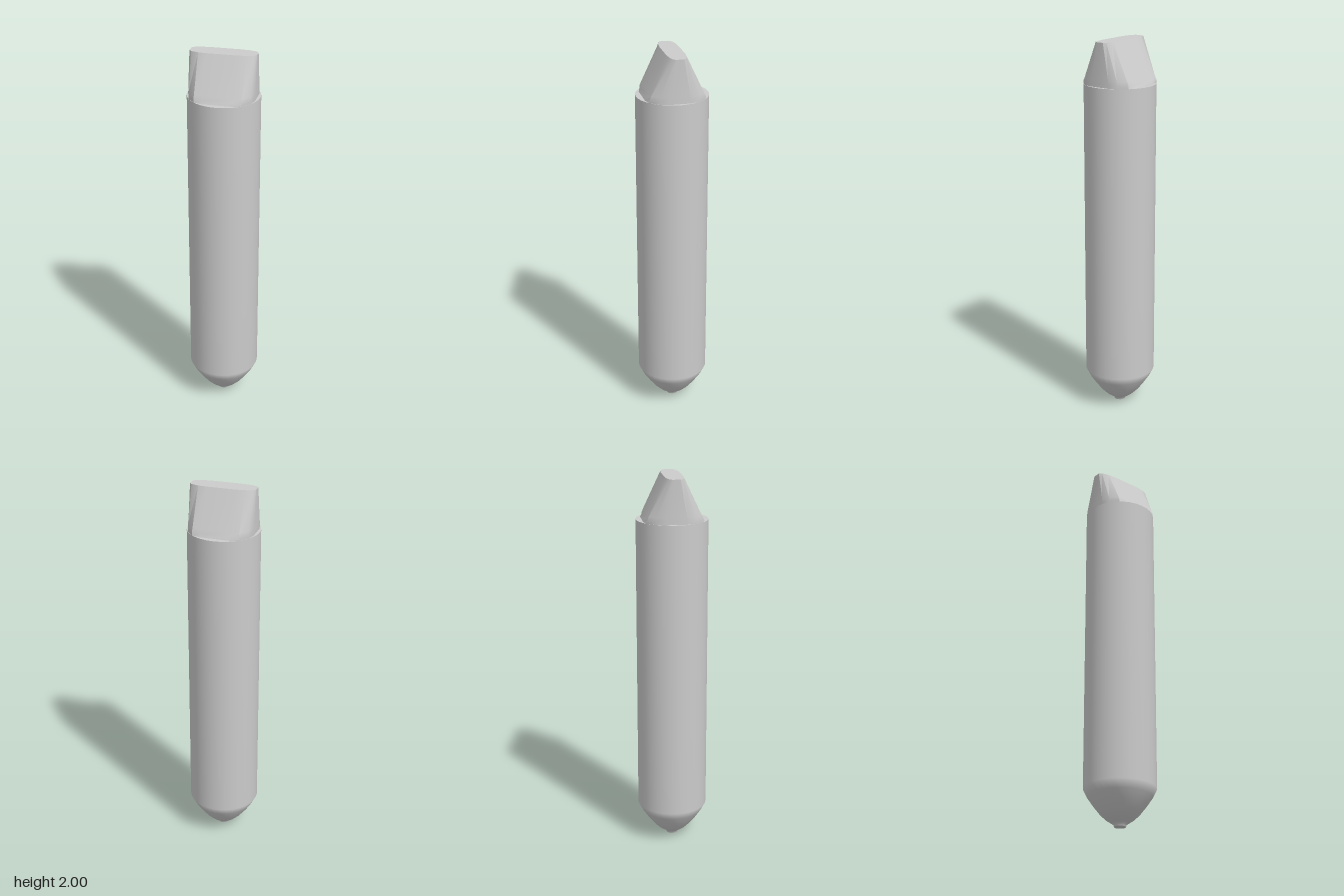
import * as THREE from 'three';
import { toCreasedNormals } from 'three/addons/utils/BufferGeometryUtils.js';

const material = new THREE.MeshStandardMaterial({ color: 0xcccccc });

// Mirror one quarter outline ([x, z] pairs) into a full ring.
function ring(quarter) {
  const back = [...quarter].reverse();
  return [
    ...quarter,
    ...back.map(([x, z]) => [-x, z]),
    ...quarter.map(([x, z]) => [-x, -z]),
    ...back.map(([x, z]) => [x, -z]),
  ];
}

// Skin a stack of rings and close the top with a fan.
function loft(sections) {
  const positions = [], index = [];
  const n = sections[0].points.length;
  for (const { y, points } of sections) {
    for (const [x, z] of points) positions.push(x, y, z);
  }
  for (let s = 0; s < sections.length - 1; s++) {
    for (let i = 0; i < n; i++) {
      const a = s * n + i, b = s * n + (i + 1) % n;
      index.push(a, a + n, b, b, a + n, b + n);
    }
  }
  const top = (sections.length - 1) * n;
  positions.push(0, sections[sections.length - 1].y, 0);
  for (let i = 0; i < n; i++) index.push(top + i, sections.length * n, top + (i + 1) % n);
  const geometry = new THREE.BufferGeometry();
  geometry.setAttribute('position', new THREE.Float32BufferAttribute(positions, 3));
  geometry.setIndex(index);
  return toCreasedNormals(geometry, 0.6);
}

export function createModel() {
  const group = new THREE.Group();
  const add = (name, geometry) => {
    const mesh = new THREE.Mesh(geometry, material);
    mesh.name = name;
    group.add(mesh);
    return mesh;
  };

  // Round shaft tapering to a blunt nose
  const profile = [
    [0.03, 0], [0.034, 0.012], [0.045, 0.02], [0.075, 0.04], [0.105, 0.07],
    [0.135, 0.108], [0.165, 0.152], [0.187, 0.195], [0.187, 1.775],
  ].map(([r, y]) => new THREE.Vector2(r, y));
  add('shaft', new THREE.LatheGeometry(profile, 32));

  // Flat ends of the shaft
  const shoulder = add('shoulder', new THREE.CircleGeometry(0.187, 32));
  shoulder.rotation.x = -Math.PI / 2;
  shoulder.position.y = 1.775;
  const tip = add('tip', new THREE.CircleGeometry(0.03, 32));
  tip.rotation.x = Math.PI / 2;

  // Wedge-shaped tang with a small flare where it meets the shoulder
  const sections = [
    { y: 1.775, points: [[0.17, 0.055], [0.157, 0.1], [0.12, 0.143], [0.075, 0.156]] },
    { y: 1.79, points: [[0.17, 0.055], [0.157, 0.1], [0.121, 0.142], [0.075, 0.148]] },
    { y: 1.81, points: [[0.17, 0.053], [0.157, 0.097], [0.12, 0.134], [0.075, 0.138]] },
    { y: 2, points: [[0.17, 0.02], [0.158, 0.033], [0.12, 0.044], [0.075, 0.048]] },
  ].map(({ y, points }) => ({ y, points: ring(points) }));
  add('tang', loft(sections));

  return group;
}
